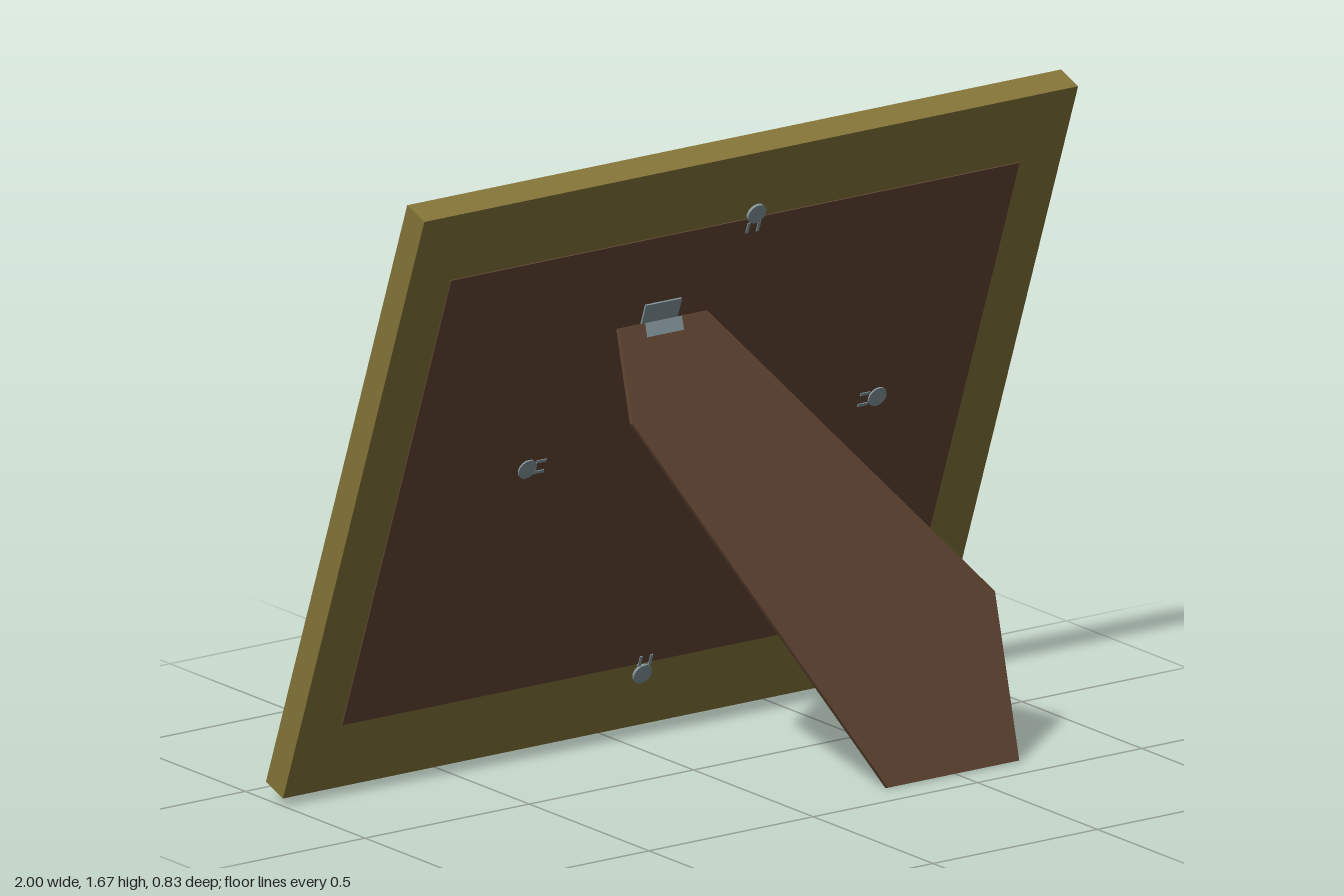
import * as THREE from 'three';

const mat = (name, color, extra = {}) => {
  const m = new THREE.MeshStandardMaterial({ color, ...extra });
  m.name = name;
  return m;
};

// Rectangular moulding: a profile of [halfWidth, halfHeight, depth] swept round four mitred corners
function mouldingGeometry(profile) {
  const corners = [[1, 1], [-1, 1], [-1, -1], [1, -1]];
  const pos = [];
  corners.forEach((c, i) => {
    const next = corners[(i + 1) % 4];
    profile.forEach((p, j) => {
      const q = profile[(j + 1) % profile.length];
      const at = (k, s) => [k[0] * s[0], k[1] * s[1], s[2]];
      const [a, b, d, e] = [at(c, p), at(next, p), at(next, q), at(c, q)];
      pos.push(...a, ...d, ...b, ...a, ...e, ...d);
    });
  });
  const g = new THREE.BufferGeometry();
  g.setAttribute('position', new THREE.Float32BufferAttribute(pos, 3));
  g.computeVertexNormals();
  return g;
}

export function createModel() {
  const olive = mat('oliveFrame', 0x857539);
  const brown = mat('brownBoard', 0x624734);
  const glass = mat('greyGlass', 0x818b8f, { side: THREE.DoubleSide });
  const metal = mat('greyMetal', 0x82949b);

  const model = new THREE.Group();
  model.name = 'pictureFrame';

  const add = (parent, name, geometry, material, x = 0, y = 0, z = 0) => {
    const mesh = new THREE.Mesh(geometry, material);
    mesh.name = name;
    mesh.position.set(x, y, z);
    parent.add(mesh);
    return mesh;
  };

  // Leaning frame; its local -z side shows the picture
  const board = new THREE.Group();
  board.name = 'leaningFrame';
  board.position.set(-0.005, 0.843, -0.083);
  board.rotation.x = THREE.MathUtils.degToRad(20);
  model.add(board);

  add(board, 'moulding', mouldingGeometry([
    [0.995, 0.8625, 0.038],
    [0.995, 0.8625, -0.038],
    [0.715, 0.658, -0.019],
    [0.715, 0.658, 0.038],
  ]), olive);

  // Glass sheet, its edge showing at one side of the frame
  add(board, 'glass', new THREE.PlaneGeometry(1.865, 1.34), glass, 0.0725, 0.003, 0.006);

  // Backing board
  add(board, 'backing', new THREE.BoxGeometry(1.73, 1.33, 0.03), brown, 0, -0.003, 0.026);

  // Turn buttons round the backing: a disc and two small tabs pointing inwards
  const buttons = [
    [0.06, 0.675, 0], [0.055, -0.7, Math.PI],
    [-0.475, 0.02, Math.PI / 2], [0.59, 0.02, -Math.PI / 2],
  ];
  for (const [x, y, turn] of buttons) {
    const button = new THREE.Group();
    button.name = 'turnButton';
    button.position.set(x, y, 0.041);
    button.rotation.z = turn;
    board.add(button);
    const disc = add(button, 'buttonDisc', new THREE.CylinderGeometry(0.027, 0.027, 0.009, 16), metal);
    disc.rotation.x = Math.PI / 2;
    for (const s of [-1, 1]) {
      add(button, 'buttonTab', new THREE.BoxGeometry(0.008, 0.03, 0.005), metal, s * 0.016, -0.04, 0);
    }
  }

  // Slanting support leg, hinged near the top of the backing
  const legGroup = new THREE.Group();
  legGroup.name = 'supportLeg';
  legGroup.position.set(0, 0.002, 0.41);
  const lean = Math.atan2(0.3, 1.21);
  legGroup.rotation.x = -lean;
  model.add(legGroup);
  const k = 1 / Math.cos(lean);
  const outline = [[-0.31, 1.21], [-0.31, 0.98], [0.29, 0], [0.69, 0], [0.69, 0.41], [-0.04, 1.21]];
  const legShape = new THREE.Shape(outline.map(([x, y]) => new THREE.Vector2(x, y * k)));
  add(legGroup, 'leg', new THREE.ExtrudeGeometry(legShape, { depth: 0.012, bevelEnabled: false }),
    brown, 0, 0, -0.008);

  // Hinge: one leaf on the leg, one on the backing
  add(legGroup, 'hingeLowerLeaf', new THREE.BoxGeometry(0.11, 0.035, 0.004), metal, -0.175, 1.23, 0.005);
  add(board, 'hingeUpperLeaf', new THREE.BoxGeometry(0.11, 0.06, 0.006), metal, -0.17, 0.43, 0.043);

  return model;
}
